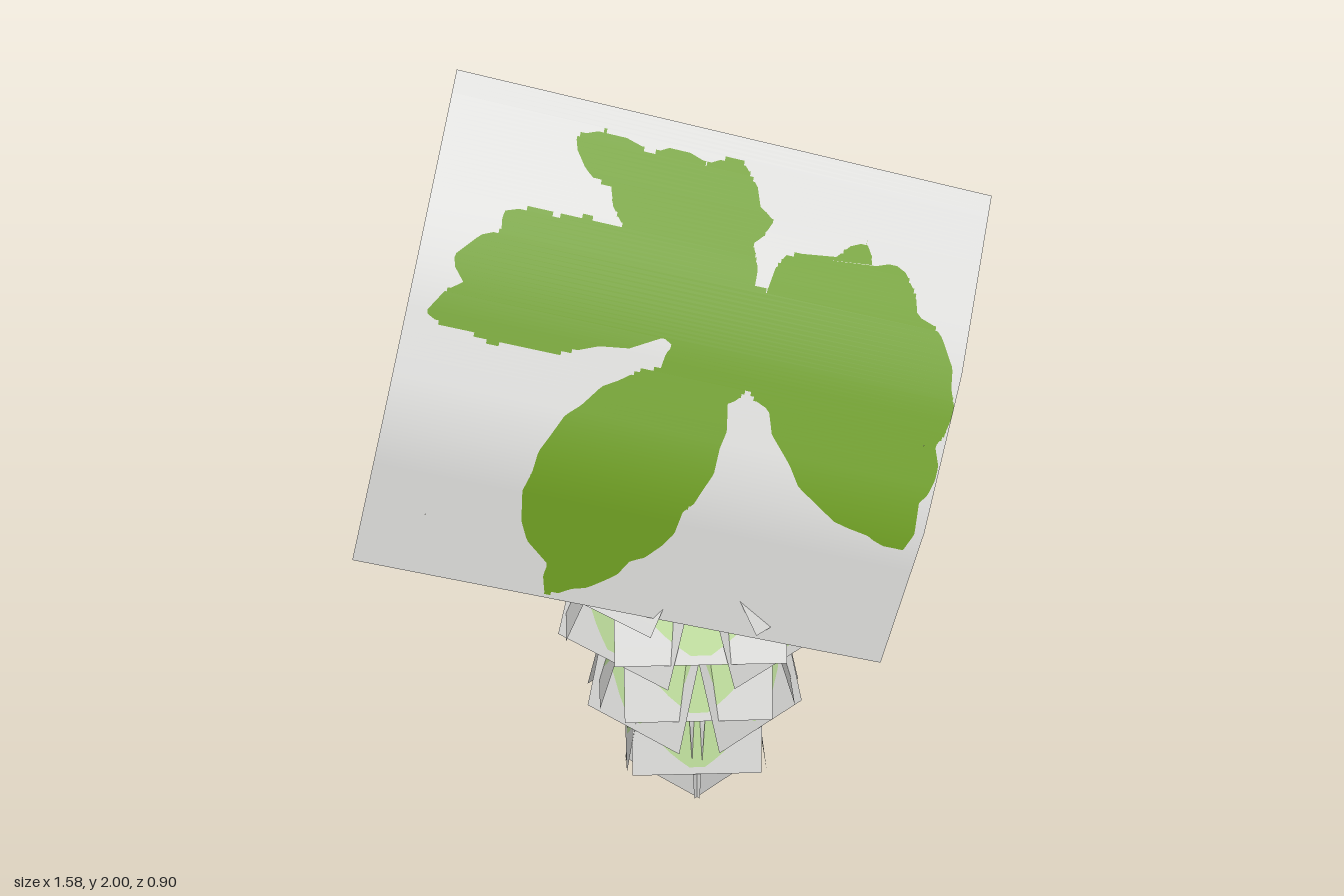
import * as THREE from 'three';

const flat = (name, color, side = THREE.DoubleSide) => {
  const m = new THREE.MeshStandardMaterial({ color, side });
  m.name = name;
  return m;
};

// Piecewise linear lookup through [t, value] pairs, extended past both ends
function along(v, pts) {
  let i = 0;
  while (i < pts.length - 2 && v > pts[i + 1][0]) i++;
  const [a, b] = [pts[i], pts[i + 1]];
  return a[1] + (b[1] - a[1]) * (v - a[0]) / (b[0] - a[0]);
}

// Where the outline crosses the line at height v, sorted by u
function crossings(outline, v) {
  const hits = [];
  outline.forEach(([u0, v0], i) => {
    const [u1, v1] = outline[(i + 1) % outline.length];
    if ((v0 > v) !== (v1 > v)) hits.push(u0 + (u1 - u0) * (v - v0) / (v1 - v0));
  });
  return hits.sort((a, b) => a - b);
}

// Bent card: the surface is cut into rows, and each row into spans inside or outside the outline
function card(name, surface, outline, rows, ground, paint) {
  const pos = [[], []], nor = [[], []], h = 0.1;
  const normal = (u, v) => {
    const du = surface(u + h, v).sub(surface(u - h, v));
    return surface(u, v + h).sub(surface(u, v - h)).cross(du).normalize();
  };
  for (let r = 0; r < rows; r++) {
    const v0 = r / rows, v1 = (r + 1) / rows;
    let a = crossings(outline, v0 + 1e-5), b = crossings(outline, v1 - 1e-5);
    if (a.length !== b.length) a = b = crossings(outline, (v0 + v1) / 2);
    a = [0, ...a, 1];
    b = [0, ...b, 1];
    for (let i = 0; i < a.length - 1; i++) {
      const tl = [a[i], v0], tr = [a[i + 1], v0], bl = [b[i], v1], br = [b[i + 1], v1];
      for (const [u, v] of [tl, bl, tr, tr, bl, br]) {
        pos[i % 2].push(...surface(u, v).toArray());
        nor[i % 2].push(...normal(u, v).toArray());
      }
    }
  }
  const g = new THREE.BufferGeometry();
  g.setAttribute('position', new THREE.Float32BufferAttribute(pos[0].concat(pos[1]), 3));
  g.setAttribute('normal', new THREE.Float32BufferAttribute(nor[0].concat(nor[1]), 3));
  g.addGroup(0, pos[0].length / 3, 0);
  g.addGroup(pos[0].length / 3, pos[1].length / 3, 1);
  const mesh = new THREE.Mesh(g, [ground, paint]);
  mesh.name = name;
  return mesh;
}

// Lobed leaf outline in hundredths of a unit, x then y
const LEAF = [
  [-23, 185], [-12, 184], [-6, 180], [3, 180], [8, 177], [17, 177], [21, 167], [24, 164],
  [19, 160], [19, 151], [22, 150], [27, 157], [38, 155], [47, 158], [48, 153], [56, 152],
  [59, 142], [65, 137], [67, 126], [67, 119], [63, 113], [63, 105], [59, 100], [55, 88],
  [46, 93], [35, 100], [27, 111], [22, 124], [17, 129], [12, 126], [10, 116], [6, 107],
  [1, 101], [-4, 92], [-12, 88], [-18, 83], [-26, 81], [-33, 80], [-32, 88], [-38, 100],
  [-35, 113], [-31, 121], [-23, 128], [-14, 133], [-4, 135], [-1, 140], [-3, 142], [-18, 141],
  [-36, 142], [-49, 146], [-59, 151], [-50, 157], [-52, 163], [-41, 167], [-40, 171],
  [-28, 169], [-16, 166], [-12, 165], [-15, 174], [-21, 178],
];

// Bract outline: rounded at the top, pointed at the bottom
const HALF = [[0.13, 0], [0.3, 0.12], [0.41, 0.28], [0.44, 0.45], [0.41, 0.6], [0.32, 0.74], [0.18, 0.87], [0.03, 0.97]];
const BRACT = [...HALF.map(([w, v]) => [0.5 + w, v]), ...HALF.map(([w, v]) => [0.5 - w, v]).reverse()];

// Tiers: width, top height, bend [radius, height], tip [radius, height], quarter-turn offset
const TIERS = [
  [0.45, 1.11, [0.20, 0.97], [0.41, 0.68], 0.5],
  [0.44, 0.95, [0.23, 0.80], [0.345, 0.53], 0],
  [0.40, 0.88, [0.22, 0.75], [0.32, 0.47], 0.5],
  [0.39, 0.71, [0.18, 0.57], [0.26, 0.30], 0],
  [0.34, 0.62, [0.16, 0.50], [0.245, 0.22], 0.5],
  [0.35, 0.45, [0.15, 0.33], [0.19, 0.08], 0],
  [0.28, 0.36, [0.11, 0.25], [0.13, 0.0], 0.5],
];

export function createModel() {
  const model = new THREE.Group();
  const pale = flat('pale card', 0xdcdcda);
  const leafGreen = flat('leaf green', 0x6f9f22);
  const bractGreen = flat('bract green', 0xbddc9b);
  const bark = flat('stem brown', 0x7b6c64);

  // Leaf card, arching forward and down
  const bend = [[0, 0.02], [1 / 3, 0.28], [2 / 3, 0.42], [1, 0.435]];
  const leafSurface = (u, v) => new THREE.Vector3(
    -0.51 + 1.3 * u - 0.28 * v, 2 - 0.345 * u - 1.09 * v, along(v, bend) - 0.03 * u);
  const det = 1.3 * -1.09 - 0.28 * 0.345;
  const toCard = ([px, py]) => {
    const x = px / 100 + 0.51, y = py / 100 - 2;
    return [(-1.09 * x + 0.28 * y) / det, (1.3 * y + 0.345 * x) / det];
  };
  // Small teeth along the leaf edge
  const toothed = LEAF.flatMap((p, i) => {
    const q = LEAF[(i + 1) % LEAF.length];
    const dx = q[0] - p[0], dy = q[1] - p[1];
    return [p, [p[0] + dx * 0.6 - dy * 0.1, p[1] + dy * 0.6 + dx * 0.1]];
  });
  model.add(card('leaf', leafSurface, toothed.map(toCard), 120, pale, leafGreen));

  // Cone of overlapping bracts, four to a tier
  const cone = new THREE.Group();
  cone.name = 'cone';
  cone.position.x = 0.06;
  TIERS.forEach(([width, top, mid, tip, turn], t) => {
    const radius = [[0, 0.01], [0.4, mid[0]], [1, tip[0]]];
    const height = [[0, top], [0.4, mid[1]], [1, tip[1]]];
    const surface = (u, v) => new THREE.Vector3((u - 0.5) * width, along(v, height), along(v, radius));
    for (let k = 0; k < 4; k++) {
      const bract = card(`bract${t + 1}_${k + 1}`, surface, BRACT, 20, pale, bractGreen);
      bract.rotation.y = (k + turn) * Math.PI / 2;
      cone.add(bract);
    }
  });
  model.add(cone);

  // Stem with a flared foot
  const path = new THREE.CatmullRomCurve3([
    [0.06, 1.09, 0], [0.1, 1.2, 0.005], [0.17, 1.42, 0.008], [0.215, 1.6, 0.005], [0.255, 1.77, 0.002],
  ].map((p) => new THREE.Vector3(...p)));
  const stem = new THREE.Mesh(new THREE.TubeGeometry(path, 10, 0.014, 6), bark);
  stem.name = 'stem';
  const foot = new THREE.Mesh(new THREE.CylinderGeometry(0.015, 0.042, 0.09, 6), bark);
  foot.name = 'stemFoot';
  foot.position.set(0.072, 1.135, 0);
  foot.rotation.z = -0.3;
  model.add(stem, foot);

  return model;
}
